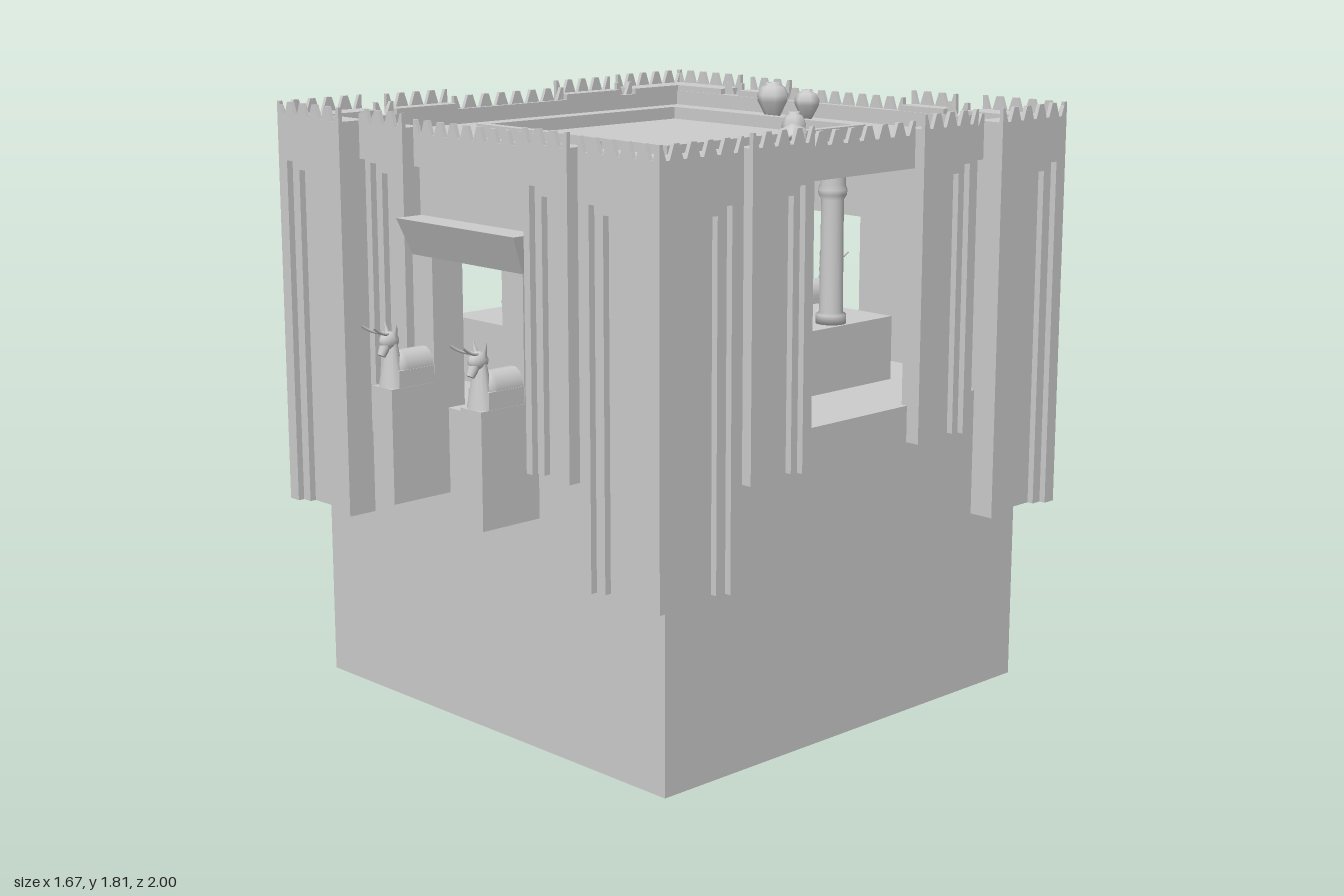
import * as THREE from 'three';

const stone = new THREE.MeshStandardMaterial({ color: 0xcccccc });
stone.name = 'paleStone';

function add(parent, geometry, name, x = 0, y = 0, z = 0) {
  const mesh = new THREE.Mesh(geometry, stone);
  mesh.name = name;
  mesh.position.set(x, y, z);
  parent.add(mesh);
  return mesh;
}

// Box given by its limits on each axis
function block(parent, name, x0, x1, y0, y1, z0, z1) {
  return add(parent, new THREE.BoxGeometry(x1 - x0, y1 - y0, z1 - z0), name,
    (x0 + x1) / 2, (y0 + y1) / 2, (z0 + z1) / 2);
}

// Outline in x and y, extruded from z0 to z1
function slab(parent, name, points, z0, z1, hole) {
  const shape = new THREE.Shape(points.map(p => new THREE.Vector2(...p)));
  if (hole) shape.holes.push(new THREE.Path(hole.map(p => new THREE.Vector2(...p))));
  add(parent, new THREE.ExtrudeGeometry(shape, { depth: z1 - z0, bevelEnabled: false }), name, 0, 0, z0);
}

const rect = (x0, x1, y0, y1) => [[x0, y0], [x1, y0], [x1, y1], [x0, y1]];

// Row of tapered battlements with half teeth at the ends
function battlements(parent, x0, x1, y, zOut) {
  const n = Math.max(1, Math.round((x1 - x0) / 0.062)), p = (x1 - x0) / n, h = 0.042;
  const pts = [[x1, y - 0.005], [x0, y - 0.005]].reverse();
  for (let i = n - 1; i >= 0; i--) {
    const a = x0 + i * p;
    pts.push([a + p, y + h], [a + 0.85 * p, y + h], [a + 0.6 * p, y], [a + 0.4 * p, y], [a + 0.15 * p, y + h], [a, y + h]);
  }
  slab(parent, 'battlements', pts, zOut - 0.013, zOut);
}

// Pier with a two-step recessed panel, open at the foot
function pier(parent, name, x0, x1, y0, zOut, zIn, m1, m2, t1, t2, cutLow, cutHigh) {
  const top = 1.755, s = 0.02;
  const frame = (k, m, t) => {
    const a = x0 + cutLow * s * k, b = x1 - cutHigh * s * k;
    return [[a, y0], [x0 + m, y0], [x0 + m, t], [x1 - m, t], [x1 - m, y0], [b, y0], [b, top], [a, top]];
  };
  slab(parent, name + 'Frame', frame(0, m1, t1), zOut - s, zOut);
  slab(parent, name + 'InnerFrame', frame(1, m2, t2), zOut - 2 * s, zOut - s);
  block(parent, name + 'Panel', x0 + cutLow * 2 * s, x1 - cutHigh * 2 * s, y0, top, zIn, zOut - 2 * s);
  battlements(parent, x0, x1, top, zOut);
}

// Crouching bull facing +z with its feet at the origin
function bull() {
  const g = new THREE.Group();
  g.name = 'bull';
  const body = add(g, new THREE.CapsuleGeometry(0.042, 0.09, 6, 14).rotateX(Math.PI / 2), 'body', 0, 0.05, -0.06);
  body.scale.y = 1.25;
  block(g, 'foldedLegs', -0.044, 0.044, 0, 0.05, -0.13, 0.02);
  const chest = add(g, new THREE.CylinderGeometry(0.019, 0.045, 0.13, 14), 'chest', 0, 0.065, 0.012);
  chest.scale.z = 0.8;
  const head = add(g, new THREE.SphereGeometry(0.026, 12, 9), 'head', 0, 0.133, 0.02);
  head.scale.set(0.85, 1.05, 1.25);
  const nose = add(g, new THREE.CylinderGeometry(0.019, 0.012, 0.045, 10), 'muzzle', 0, 0.112, 0.038);
  nose.rotation.x = -0.5;
  for (const s of [-1, 1]) {
    const ear = add(g, new THREE.ConeGeometry(0.01, 0.045, 6), 'ear', s * 0.022, 0.166, 0.012);
    ear.rotation.z = -s * 0.35;
    const curve = new THREE.QuadraticBezierCurve3(new THREE.Vector3(s * 0.01, 0.155, 0.03),
      new THREE.Vector3(s * 0.022, 0.155, 0.06), new THREE.Vector3(s * 0.028, 0.182, 0.094));
    add(g, new THREE.TubeGeometry(curve, 8, 0.004, 6), 'horn');
  }
  return g;
}

// Doorway surround, cornice, pedestals and bulls
function portal(g) {
  const cornice = new THREE.BoxGeometry(0.52, 0.108, 0.1);
  const pos = cornice.attributes.position;
  for (let i = 0; i < pos.count; i++) {
    if (pos.getY(i) > 0) continue;
    pos.setX(i, pos.getX(i) * 0.94);
    if (pos.getZ(i) > 0) pos.setZ(i, 0.005);
  }
  cornice.computeVertexNormals();
  add(g, cornice, 'doorCornice', 0, 1.446, 0.795);
  for (const s of [-1, 1]) {
    const [a, b] = s > 0 ? [0.155, 0.245] : [-0.245, -0.155];
    block(g, 'doorJamb', a, b, 0.69, 1.395, 0.745, 0.8);
    block(g, 'pedestal', a, b, 0.69, 1.028, 0.745, 0.955);
    const b1 = bull();
    b1.position.set(s * 0.2, 1.028, 0.906);
    g.add(b1);
  }
}

function facade(isFront) {
  const g = new THREE.Group();
  g.name = isFront ? 'gateFacade' : 'openFacade';
  const f = isFront
    ? { t0: 0.525, t1: 0.835, out: 0.845, p0: 0.265, p1: 0.445, pOut: 0.812, zIn: 0.74, wall: 0.772 }
    : { t0: 0.54, t1: 0.845, out: 0.835, p0: 0.23, p1: 0.47, pOut: 0.8, zIn: 0.735, wall: 0.765 };
  const pm = isFront ? [0.025, 0.053] : [0.035, 0.06];
  for (const s of [-1, 1]) {
    const span = (a, b) => (s > 0 ? [a, b] : [-b, -a]);
    pier(g, 'cornerTower', ...span(f.t0, f.t1), 0.56, f.out, f.zIn, 0.042, 0.076, 1.62, 1.593, s < 0 ? 1 : 0, s > 0 ? 1 : 0);
    pier(g, 'pilaster', ...span(f.p0, f.p1), 0.835, f.pOut, f.zIn, ...pm, 1.642, 1.613, 0, 0);
    battlements(g, ...span(f.p1, f.t0), 1.735, f.wall);
  }
  // Band along the roof edge
  block(g, 'entablature', -f.t1 + 0.07, f.t1 - 0.07, 1.642, 1.737, 0.735, f.wall);
  battlements(g, -f.p0, f.p0, 1.735, f.wall);
  if (isFront) {
    slab(g, 'gateWall', rect(-0.755, 0.755, 0.94, 1.65), 0.69, 0.752, rect(-0.155, 0.155, 0.945, 1.395));
    portal(g);
  }
  return g;
}

// Faceted storage jar standing on its foot
function jar(parent, r, h, sides, x, z) {
  const profile = [[0, 0], [0.35, 0], [0.6, 0.2], [0.95, 0.5], [1, 0.68], [0.75, 0.88], [0.42, 0.95], [0.5, 1], [0.3, 1], [0.25, 0.93], [0, 0.93]];
  const pts = profile.map(([a, b]) => new THREE.Vector2(a * r, b * h));
  return add(parent, new THREE.LatheGeometry(pts, sides), 'jar', x, 1.69, z);
}

export function createModel() {
  const model = new THREE.Group();
  model.name = 'templeHall';

  block(model, 'base', -0.755, 0.755, 0, 0.945, -0.75, 0.75);
  block(model, 'roof', -0.75, 0.75, 1.642, 1.69, -0.745, 0.745);

  for (let k = 0; k < 4; k++) {
    const side = facade(k % 2 === 0);
    side.rotation.y = k * Math.PI / 2;
    model.add(side);
  }

  // Raised rim in the middle of the roof
  const rim = new THREE.Group();
  rim.name = 'roofRim';
  slab(rim, 'rim', rect(-0.415, 0.415, -0.415, 0.415), 0, 0.038, rect(-0.385, 0.385, -0.385, 0.385));
  rim.rotation.x = -Math.PI / 2;
  rim.position.y = 1.69;
  model.add(rim);

  // Two rows of columns on podiums
  const column = [[0, 0], [0.046, 0], [0.046, 0.028], [0.036, 0.034], [0.034, 0.375], [0.043, 0.39], [0.044, 0.405], [0.039, 0.42], [0.04, 0.505]]
    .map(p => new THREE.Vector2(...p));
  for (const s of [-1, 1]) {
    block(model, 'podium', s > 0 ? 0.17 : -0.475, s > 0 ? 0.475 : -0.17, 0.94, 1.142, -0.48, 0.48);
    for (let i = 0; i < 4; i++) {
      add(model, new THREE.LatheGeometry(column, 20), 'column', s * 0.42, 1.142, (i - 1.5) * 0.176);
    }
  }

  // Jars left on the roof
  jar(model, 0.052, 0.12, 7, -0.135, -0.585);
  jar(model, 0.042, 0.095, 6, -0.065, -0.67);
  jar(model, 0.036, 0.115, 7, 0.53, 0.025);
  const fallen = jar(model, 0.05, 0.17, 8, 0.545, 0.04);
  fallen.name = 'fallenJar';
  fallen.position.y = 1.735;
  fallen.quaternion.setFromUnitVectors(new THREE.Vector3(0, 1, 0), new THREE.Vector3(0.66, 0, 0.75).normalize());

  return model;
}
